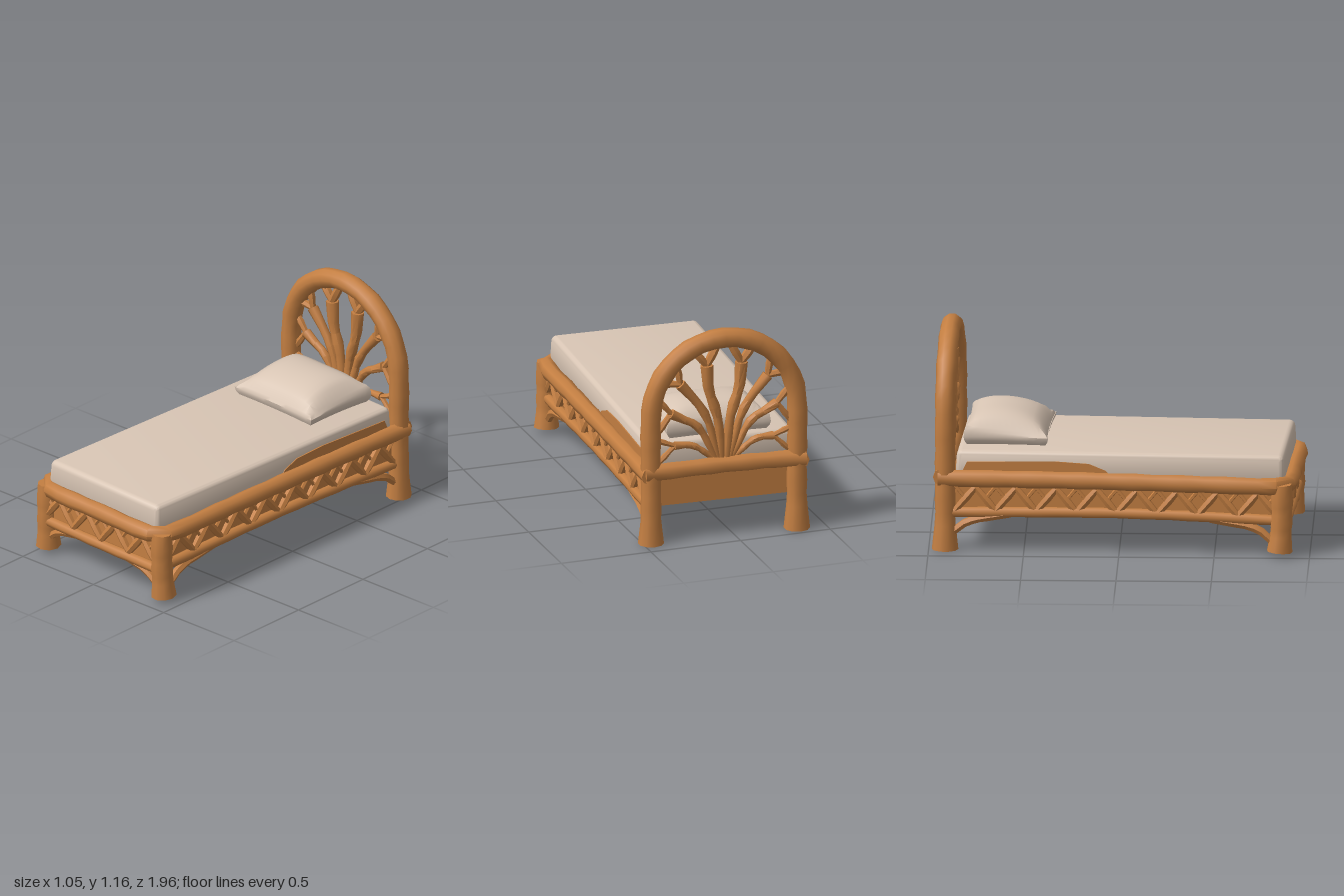
import * as THREE from 'three';
import { toCreasedNormals } from 'three/addons/utils/BufferGeometryUtils.js';
import { RoundedBoxGeometry } from 'three/addons/geometries/RoundedBoxGeometry.js';

const wood = new THREE.MeshStandardMaterial({ color: 0xc47f42 });
wood.name = 'wood';
const linen = new THREE.MeshStandardMaterial({ color: 0xd8c5b4 });
linen.name = 'linen';

// Closed, slightly knobbly log along a smooth curve; radius(t) is a factor on r.
function log(name, points, r, { segs = 12, sides = 8, radius = () => 1, knob = 0.05 } = {}) {
  const curve = new THREE.CatmullRomCurve3(points.map(p => new THREE.Vector3(...p)), false, 'centripetal');
  const geo = new THREE.TubeGeometry(curve, segs, r, sides, false);
  const pos = geo.attributes.position;
  const v = new THREE.Vector3();
  for (let i = 0; i <= segs; i++) {
    const c = curve.getPointAt(i / segs);
    // The first and last rings close the ends; their neighbours form the rims.
    const end = i === 0 || i === segs;
    const t = i === 1 ? 0 : i === segs - 1 ? 1 : i / segs;
    const target = curve.getPointAt(t);
    const k = end ? 0 : radius(t) * (1 + knob * Math.sin(i * 2.3 + r * 90));
    for (let j = 0; j <= sides; j++) {
      const n = i * (sides + 1) + j;
      v.fromBufferAttribute(pos, n).sub(c).multiplyScalar(k).add(target);
      pos.setXYZ(n, v.x, v.y, v.z);
    }
  }
  const mesh = new THREE.Mesh(toCreasedNormals(geo, 0.9), wood);
  mesh.name = name;
  return mesh;
}

// Zigzag sticks between two ground points [x, z], filling the height between the rails.
function lattice(name, a, b, count) {
  const g = new THREE.Group();
  g.name = name;
  const at = (t, y) => [a[0] + (b[0] - a[0]) * t, y, a[1] + (b[1] - a[1]) * t];
  for (let i = 0; i < count; i++) {
    const t0 = i / count, t1 = (i + 0.5) / count, t2 = (i + 1) / count;
    g.add(log('latticeStick', [at(t0, 0.215), at(t1, 0.34)], 0.02, { segs: 5, sides: 6, knob: 0.15 }));
    g.add(log('latticeStick', [at(t1, 0.34), at(t2, 0.215)], 0.02, { segs: 5, sides: 6, knob: 0.15 }));
    // Short twig forking off each stick
    g.add(log('latticeTwig', [at(t0 + 0.25 / count, 0.28), at(t0, 0.345)], 0.011, { segs: 4, sides: 5 }));
    g.add(log('latticeTwig', [at(t2 - 0.25 / count, 0.28), at(t2, 0.345)], 0.011, { segs: 4, sides: 5 }));
  }
  return g;
}

function box(name, w, h, d, x, y, z, material) {
  const m = new THREE.Mesh(new THREE.BoxGeometry(w, h, d), material);
  m.name = name;
  m.position.set(x, y, z);
  return m;
}

function makePillow() {
  const geo = new THREE.BoxGeometry(2, 2, 2, 14, 4, 12);
  const pos = geo.attributes.position;
  for (let i = 0; i < pos.count; i++) {
    const u = pos.getX(i), w = pos.getY(i), v = pos.getZ(i);
    const dome = Math.pow((1 - u ** 4) * (1 - v * v), 0.55);
    const y = w > 0 ? w * (0.035 + 0.085 * dome) : w * 0.042;
    const round = 1 - 0.07 * w * w;
    const x = u * 0.285 * round * (1 - 0.04 * (1 - v * v));
    const z = v * 0.222 * round * (1 - 0.04 * (1 - u * u));
    pos.setXYZ(i, x, y - 0.02 * v * (w > 0 ? 1 : 0), z);
  }
  const m = new THREE.Mesh(toCreasedNormals(geo, 0.9), linen);
  m.name = 'pillow';
  m.position.set(0, 0.576, -0.585);
  return m;
}

export function createModel() {
  const model = new THREE.Group();
  model.name = 'rusticBed';
  const bed = new THREE.Group();
  bed.name = 'bed';
  model.add(bed);
  // The bed stands a little askew
  bed.rotation.y = -0.05;
  bed.position.x = 0.01;
  const zBack = -0.895, zFront = 0.905;

  // Headboard arch with the back legs in one bent log
  const arch = [[-0.4, 0, zBack], [-0.4, 0.35, zBack]];
  for (let i = 0; i <= 12; i++) {
    const a = Math.PI * (1 - i / 12);
    arch.push([Math.cos(a) * 0.4, 0.705 + Math.sin(a) * 0.4, zBack]);
  }
  arch.push([0.4, 0.35, zBack], [0.4, 0, zBack]);
  bed.add(log('headboardArch', arch, 0.053, {
    segs: 40, sides: 10, knob: 0.04,
    radius: t => 1 + 0.28 * Math.max(0, 1 - Math.min(t, 1 - t) / 0.06),
  }));

  // Fan of forked branches inside the arch, mirrored: [stem points], [fork tips]
  const fan = [
    [[[0.015, 0.43], [0.035, 0.66], [0.085, 0.83], [0.095, 0.96]], [[0.035, 1.07], [0.165, 1.05]], 0.031],
    [[[0.03, 0.43], [0.1, 0.68], [0.18, 0.8], [0.24, 0.87]], [[0.255, 0.97], [0.35, 0.885]], 0.026],
    [[[0.04, 0.43], [0.15, 0.63], [0.24, 0.68], [0.29, 0.71]], [[0.355, 0.79], [0.37, 0.6]], 0.024],
    [[[0.05, 0.43], [0.17, 0.52], [0.27, 0.53]], [[0.37, 0.57], [0.36, 0.44]], 0.02],
  ];
  for (const s of [-1, 1]) {
    const lift = p => [s * p[0], p[1], zBack];
    for (const [stem, tips, r] of fan) {
      bed.add(log('fanBranch', stem.map(lift), r, { segs: 9, sides: 7, knob: 0.12, radius: t => 0.7 + 0.35 * t }));
      const knot = stem[stem.length - 1];
      for (const tip of tips) {
        bed.add(log('fanFork', [lift(knot), lift(tip)], r * 0.72, { segs: 5, sides: 6, knob: 0.15 }));
      }
    }
  }

  // Upper rail running round the sides and the front
  const rail = [[0.415, 0.385, -0.93], [0.43, 0.39, -0.3], [0.44, 0.385, 0.4],
    [0.442, 0.38, 0.8], [0.42, 0.378, 0.88], [0.36, 0.378, zFront]];
  const mirrored = rail.map(([x, y, z]) => [-x, y, z]).reverse();
  bed.add(log('upperRail', [...rail, [0, 0.38, zFront + 0.005], ...mirrored], 0.046, { segs: 48, knob: 0.05 }));
  bed.add(log('backRail', [[-0.44, 0.395, zBack - 0.015], [0, 0.4, zBack - 0.01], [0.44, 0.395, zBack - 0.015]], 0.046));

  // Lower rails and lattices
  bed.add(log('frontLowerRail', [[-0.42, 0.185, 0.895], [0, 0.185, 0.9], [0.42, 0.185, 0.895]], 0.028));
  bed.add(lattice('frontLattice', [-0.41, 0.9], [0.41, 0.9], 4));

  for (const s of [-1, 1]) {
    bed.add(log('sideLowerRail', [[s * 0.405, 0.2, zBack], [s * 0.42, 0.215, 0], [s * 0.43, 0.195, 0.88]], 0.028, { segs: 18 }));
    bed.add(lattice('sideLattice', [s * 0.413, -0.84], [s * 0.432, 0.86], 8));

    // Front leg with a flared foot
    bed.add(log('frontLeg', [[s * 0.43, 0.028, 0.865], [s * 0.425, 0.2, 0.875], [s * 0.425, 0.39, 0.875]], 0.057, {
      segs: 9, sides: 9, radius: t => 1 + 0.14 * Math.max(0, 1 - t / 0.3),
    }));

    // Curved braces under the lower rails
    bed.add(log('frontBrace', [[s * 0.41, 0.08, 0.885], [s * 0.33, 0.14, 0.89], [s * 0.16, 0.178, 0.895]], 0.02, { segs: 8, sides: 6 }));
    bed.add(log('sideBrace', [[s * 0.43, 0.07, 0.84], [s * 0.43, 0.145, 0.75], [s * 0.425, 0.195, 0.5]], 0.022, { segs: 8, sides: 6 }));
    bed.add(log('sideBrace', [[s * 0.405, 0.09, -0.86], [s * 0.41, 0.15, -0.78], [s * 0.412, 0.2, -0.55]], 0.022, { segs: 8, sides: 6 }));
  }

  // Closed base behind the lattices
  bed.add(box('base', 0.8, 0.215, 1.745, 0, 0.2975, 0.01, wood));

  // Mattress, its sides leaning in a little towards the top
  const geo = new RoundedBoxGeometry(0.82, 0.16, 1.735, 3, 0.03);
  const pos = geo.attributes.position;
  for (let i = 0; i < pos.count; i++) {
    const k = 1 - 0.12 * (pos.getY(i) + 0.08);
    pos.setX(i, pos.getX(i) * k);
    pos.setZ(i, pos.getZ(i) * (1 + (k - 1) * 0.5));
  }
  geo.computeVertexNormals();
  const mattress = new THREE.Mesh(toCreasedNormals(geo, 0.8), linen);
  mattress.name = 'mattress';
  mattress.position.set(0, 0.454, 0.025);
  bed.add(mattress);

  // Wood-coloured strips low on the mattress sides
  const strip = new THREE.Shape([[0, 0.41], [0.03, 0.44], [0.12, 0.475], [0.3, 0.485], [0.76, 0.475], [0.79, 0.41]]
    .map(p => new THREE.Vector2(...p)));
  const stripGeo = new THREE.ExtrudeGeometry(strip, { depth: 0.008, bevelEnabled: false });
  for (const s of [-1, 1]) {
    const m = new THREE.Mesh(stripGeo, wood);
    m.name = 'sideStrip';
    m.rotation.y = Math.PI / 2;
    m.position.set(s * 0.407 - 0.004, 0, -0.02);
    bed.add(m);
  }

  bed.add(makePillow());
  return model;
}
